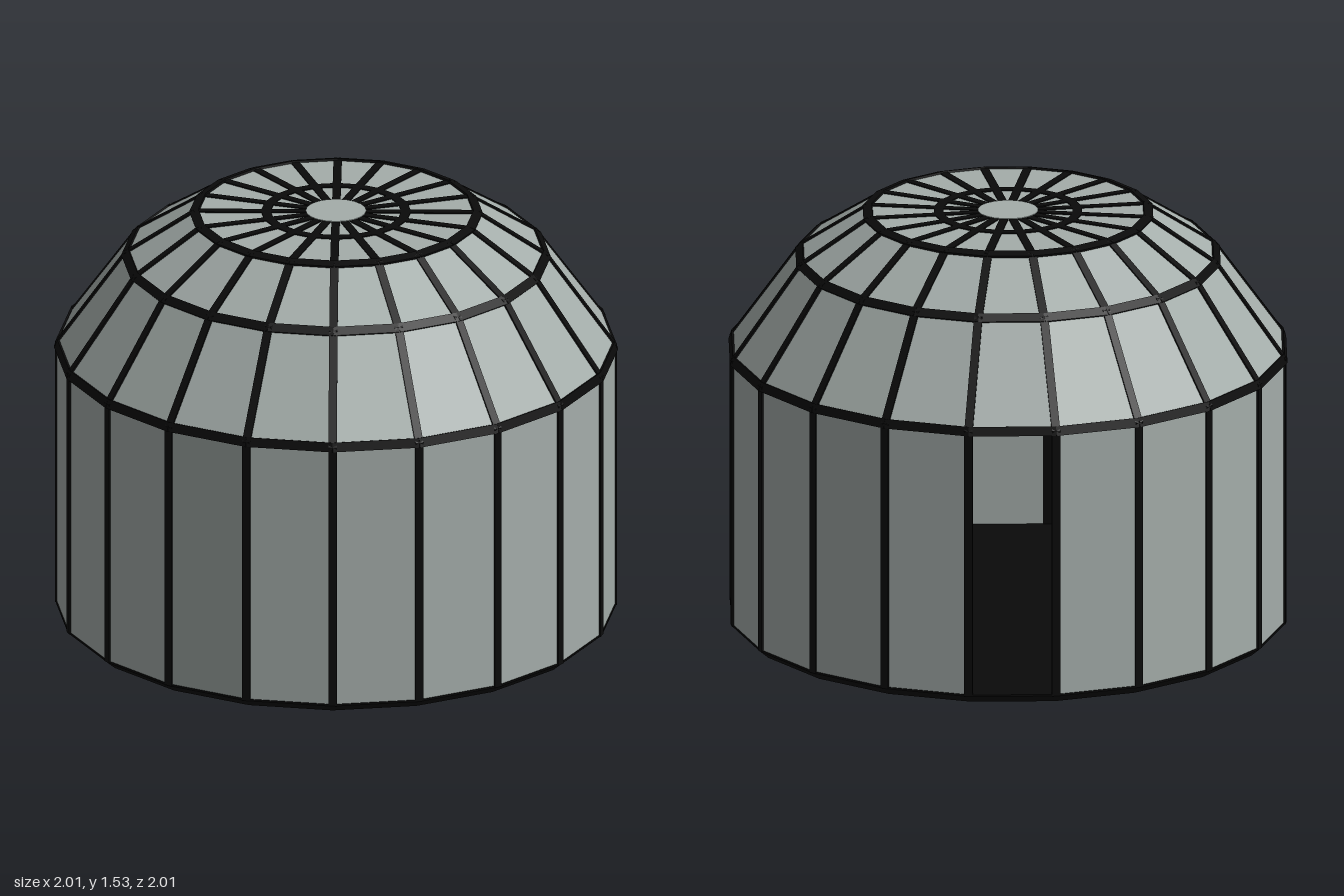
import * as THREE from 'three';
import { mergeGeometries } from 'three/addons/utils/BufferGeometryUtils.js';

const SIDES = 20;
const DOOR = 8; // wall bay left open, at the back on the +x side
// Profile of the shell as [radius, height], from floor to hub
const PROFILE = [[0.996, 0.03], [0.996, 1.02], [0.75, 1.366], [0.505, 1.526], [0.25, 1.526], [0.1, 1.526]];

const V = (x, y, z) => new THREE.Vector3(x, y, z);
const around = (k, r, y) => {
  const a = (k * 2 * Math.PI) / SIDES;
  return V(r * Math.sin(a), y, r * Math.cos(a));
};
const corner = (k, i) => around(k, ...PROFILE[i]);

// Outward normal of profile band i, as [radial, up]
const bandNormal = (i) => {
  const [r0, y0] = PROFILE[i], [r1, y1] = PROFILE[i + 1];
  const l = Math.hypot(r1 - r0, y1 - y0);
  return [(y1 - y0) / l, (r0 - r1) / l];
};

// Flat bar from a to b, facing along normal
function bar(a, b, normal, width, thick = 0.008) {
  const dir = b.clone().sub(a);
  const geo = new THREE.BoxGeometry(width, dir.length(), thick);
  dir.normalize();
  const side = dir.clone().cross(normal).normalize();
  const face = side.clone().cross(dir);
  const m = new THREE.Matrix4().makeBasis(side, dir, face);
  m.setPosition(a.clone().add(b).multiplyScalar(0.5));
  return geo.applyMatrix4(m);
}

export function createModel() {
  const group = new THREE.Group();
  const black = new THREE.MeshStandardMaterial({ color: 0x0a0a0a, flatShading: true });
  const pane = new THREE.MeshStandardMaterial({ color: 0xa4adaa, flatShading: true, side: THREE.DoubleSide });
  const add = (name, geo, mat) => {
    const mesh = new THREE.Mesh(geo, mat);
    mesh.name = name;
    group.add(mesh);
  };

  // Bevelled floor slab
  const slab = [[0, 0], [0.965, 0], [1, 0.03], [1, 0.036], [0, 0.036]];
  add('floor', new THREE.LatheGeometry(slab.map((p) => new THREE.Vector2(...p)), SIDES), black);

  // Panes: one flat quad per bay, leaving the doorway open
  const bandNames = ['wallPanes', 'lowerRoofPanes', 'upperRoofPanes', 'outerCapPanes', 'innerCapPanes'];
  bandNames.forEach((name, i) => {
    const pts = [];
    for (let k = 0; k < SIDES; k++) {
      if (i === 0 && k === DOOR) continue;
      const a = corner(k, i), b = corner(k + 1, i), c = corner(k + 1, i + 1), d = corner(k, i + 1);
      pts.push(a, b, c, a, c, d);
    }
    const geo = new THREE.BufferGeometry().setFromPoints(pts);
    geo.computeVertexNormals();
    add(name, geo, pane);
  });

  // Ribs running from floor to hub along every corner
  const ribs = [];
  for (let k = 0; k < SIDES; k++) {
    for (let i = 0; i < PROFILE.length - 1; i++) {
      ribs.push(bar(corner(k, i), corner(k, i + 1), around(k, ...bandNormal(i)), 0.03));
    }
  }
  add('ribs', mergeGeometries(ribs), black);

  // Hoops at each bend, tilted halfway between the bands they join
  const hoops = [];
  for (let i = 1; i < PROFILE.length - 1; i++) {
    const [r0, y0] = bandNormal(i - 1), [r1, y1] = bandNormal(i);
    for (let k = 0; k < SIDES; k++) {
      hoops.push(bar(corner(k, i), corner(k + 1, i), around(k + 0.5, r0 + r1, y0 + y1), 0.034));
    }
  }
  add('hoops', mergeGeometries(hoops), black);

  // Hub disc closing the roof
  const hub = new THREE.CylinderGeometry(0.108, 0.108, 0.014, SIDES);
  hub.translate(0, 1.525, 0);
  add('hub', hub, pane);

  return group;
}
